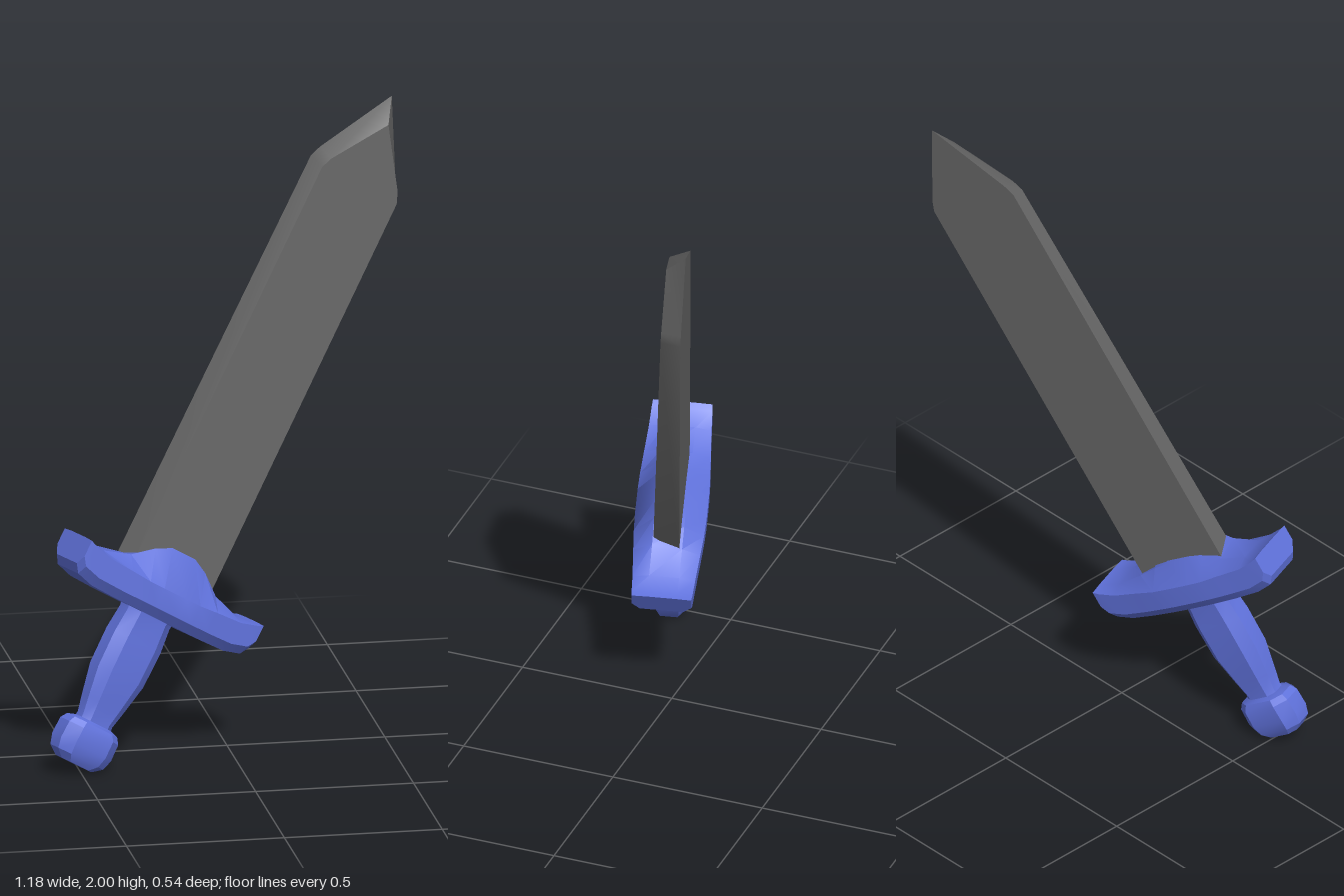
import * as THREE from 'three';
import { toCreasedNormals } from 'three/addons/utils/BufferGeometryUtils.js';

const steel = new THREE.MeshStandardMaterial({ color: 0x666666 });
const blue = new THREE.MeshStandardMaterial({ color: 0x6072dc });

// Skins a list of rings (counter-clockwise seen from the last one) and caps both ends.
function loft(name, rings, material) {
  const n = rings[0].length;
  const pos = rings.flat(2);
  const idx = [];
  for (let i = 0; i < rings.length - 1; i++) {
    for (let j = 0; j < n; j++) {
      const a = i * n + j, b = i * n + (j + 1) % n;
      idx.push(a, b, b + n, a, b + n, a + n);
    }
  }
  [0, rings.length - 1].forEach((r, end) => {
    const centre = [0, 1, 2].map((k) => rings[r].reduce((s, p) => s + p[k], 0) / n);
    const c = pos.length / 3;
    pos.push(...centre);
    for (let j = 0; j < n; j++) {
      const a = r * n + j, b = r * n + (j + 1) % n;
      idx.push(c, end ? a : b, end ? b : a);
    }
  });
  const geometry = new THREE.BufferGeometry();
  geometry.setAttribute('position', new THREE.Float32BufferAttribute(pos, 3));
  geometry.setIndex(idx);
  const mesh = new THREE.Mesh(toCreasedNormals(geometry, 0.5), material);
  mesh.name = name;
  return mesh;
}

const MID = 0.063; // middle depth of the handle

// Bevelled rectangle across the handle: height, half width, half depth
function handleRing([y, a, b]) {
  const p = 0.6 * a, q = 0.5 * b;
  return [[a, q], [p, b], [-p, b], [-a, q], [-a, -q], [-p, -b], [p, -b], [a, -q]]
    .map(([x, z]) => [x, y, MID - z]);
}

// Blade outline: depth, thinning towards the point, half width, shoulder height, tip height
function bladeRing([z, thinning, w, shoulder, tip]) {
  return [[-w, 0.3], [w, 0.3], [w, shoulder - 0.02], [w - 0.016, shoulder + 0.016],
    [0, tip], [-w + 0.016, shoulder + 0.016], [-w, shoulder - 0.02]]
    .map(([x, y]) => [x, y, z - thinning * (y - 0.3)]);
}

// Guard section: position, underside, upper edge, back and front ridge, half depth
function guardRing([x, low, edge, back, front, d]) {
  return [[back, 0.015 - MID], [front, 0.046], [edge, d], [low + 0.03, d],
    [low, d - 0.025], [low, 0.025 - d], [low + 0.03, -d], [edge, -d]]
    .map(([y, z]) => [x, y, MID + z]);
}

export function createModel() {
  const sword = new THREE.Group();
  sword.name = 'sword';

  // Blade: flat back, bevelled edges and point on the front
  sword.add(loft('blade', [
    [0.024, 0, 0.168, 1.78, 2.037],
    [0.108, 0.014, 0.15, 1.76, 1.95],
  ].map(bladeRing), steel));

  // Guard: straight underside, low collar in front of the blade, upswept ends
  const half = [
    [0.045, 0.25, 0.345, 0.4, 0.47, 0.112],
    [0.10, 0.25, 0.345, 0.395, 0.445, 0.11],
    [0.17, 0.25, 0.35, 0.38, 0.395, 0.105],
    [0.265, 0.253, 0.355, 0.368, 0.368, 0.098],
    [0.325, 0.268, 0.37, 0.373, 0.373, 0.095],
    [0.345, 0.295, 0.378, 0.38, 0.38, 0.093],
  ];
  const mirrored = half.map(([x, ...rest]) => [-x, ...rest]).reverse();
  sword.add(loft('guard', [...mirrored, ...half].map(guardRing), blue));

  // Grip: swells in the middle, narrow at the pommel
  sword.add(loft('grip', [
    [-0.16, 0.062, 0.04], [-0.115, 0.058, 0.038], [-0.06, 0.07, 0.045],
    [0.04, 0.09, 0.056], [0.16, 0.092, 0.056], [0.24, 0.084, 0.053], [0.275, 0.09, 0.058],
  ].map(handleRing), blue));

  // Pommel: squat bevelled knob
  sword.add(loft('pommel', [
    [-0.268, 0.06, 0.04], [-0.245, 0.09, 0.055], [-0.21, 0.1, 0.062],
    [-0.155, 0.098, 0.062], [-0.135, 0.085, 0.052], [-0.125, 0.056, 0.036],
  ].map(handleRing), blue));

  // Lean the sword to its pose, with a slight roll about its own axis
  const up = new THREE.Vector3(0.48, 0.856, -0.192).normalize();
  const across = new THREE.Vector3(0.836, -0.513, -0.194);
  across.addScaledVector(up, -across.dot(up)).normalize();
  const facing = new THREE.Vector3().crossVectors(across, up);
  sword.quaternion.setFromRotationMatrix(new THREE.Matrix4().makeBasis(across, up, facing));
  sword.rotateY(0.03);
  sword.position.copy(across).multiplyScalar(-0.494);

  const model = new THREE.Group();
  model.add(sword);
  return model;
}
